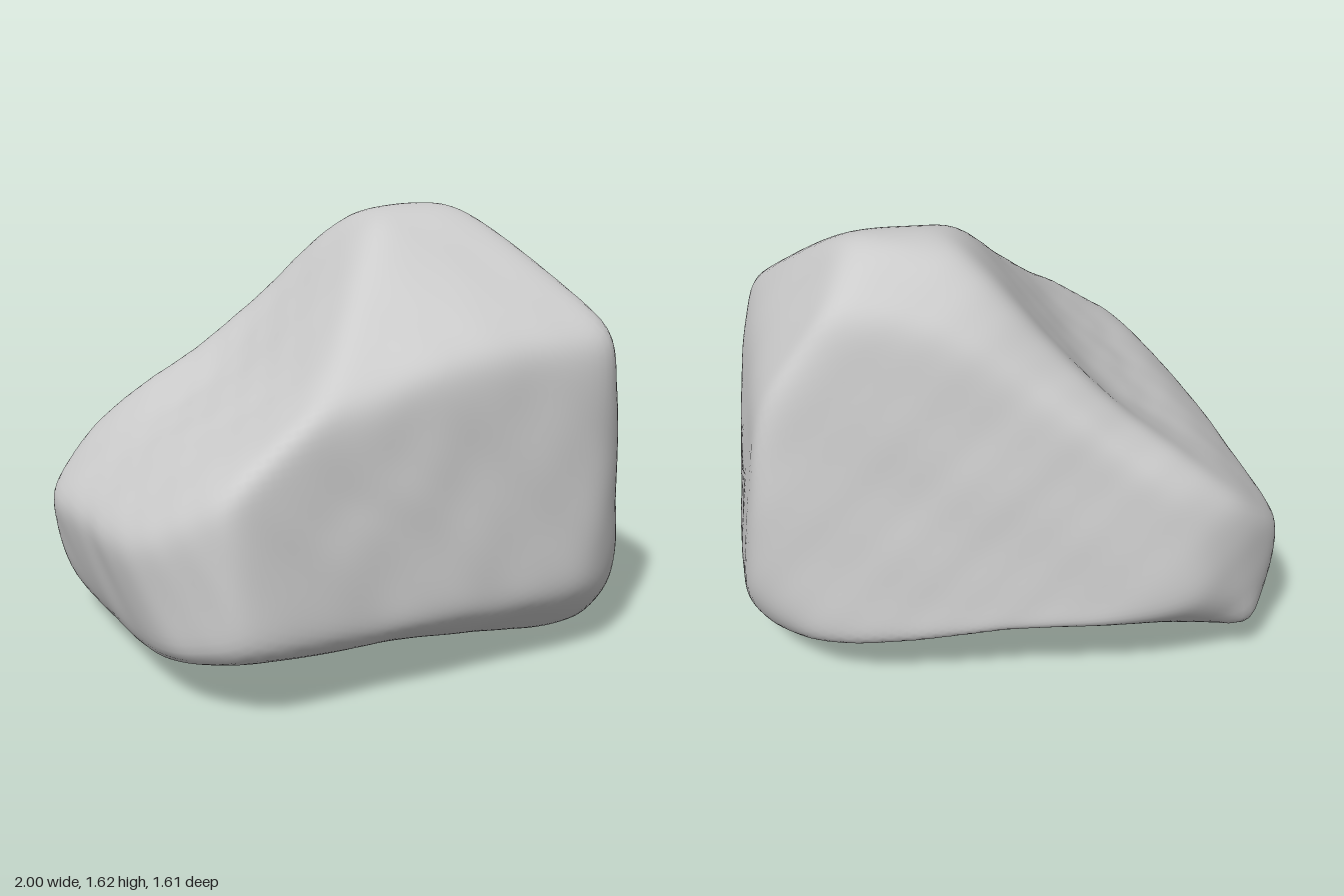
import * as THREE from 'three';
import { mergeVertices } from 'three/addons/utils/BufferGeometryUtils.js';

// Broad facets of the boulder: outward direction, then a point on the facet
const FACETS = [
  [[0, 0.08, 1], [0, 0.5, 0.805]],              // front
  [[0, 0.84, 0.54], [0.2, 1.54, 0.2]],          // upper front slope
  [[-0.67, 0.74, -0.1], [0.05, 1.54, 0]],       // long left slope
  [[-0.75, 0.6, 0], [-0.92, 0.71, 0]],          // left shoulder
  [[0, 1, 0], [0.3, 1.615, 0]],                 // crown
  [[0.1, 0.75, -0.6], [0.4, 1.5, -0.3]],        // back of the crown
  [[1, 0.1, 0.1], [0.965, 0.55, 0]],            // right side
  [[0.81, 0.59, 0], [0.74, 1.34, 0]],           // right shoulder
  [[0.37, 0.18, -1.25], [-0.5, 0.5, -0.8]],     // back
  [[-0.35, 0.97, -1.09], [0, 1.28, -0.48]],     // back ridge
  [[-0.25, 0.12, -0.96], [-0.55, 0.4, -0.82]],  // foot of the back ridge
  [[-1, -0.2, 0], [-1.01, 0.5, 0]],             // left side
  [[-0.85, 0, 0.5], [-0.91, 0.5, 0.6]],         // front left corner
  [[-0.63, 0, -0.78], [-0.87, 0.4, -0.69]],     // back left corner
  [[0.6, 0, 0.8], [0.82, 0.5, 0.71]],           // front right corner
  [[0.65, 0, -0.76], [0.86, 0.4, -0.4]],        // back right corner
  [[-0.06, -1, 0.06], [0, 0.01, 0]],            // underside
  [[0, -0.7, 0.7], [0, 0.16, 0.75]],            // lower front edge
  [[-0.15, -0.9, 0.35], [-0.6, 0.13, 0.6]],     // lower front left
  [[0.5, -0.6, 0.6], [0.83, 0.13, 0.66]],       // lower front right
  [[0, -0.5, -0.87], [-0.6, 0.2, -0.73]],       // lower back edge
  [[0.1, -0.9, -0.4], [0.4, 0.14, -0.45]],      // rising back of the underside
  [[0.75, -0.65, 0], [0.95, 0.08, 0]],          // lower right edge
  [[0.7, -0.55, -0.4], [0.92, 0.15, -0.2]],     // lower back right
  [[-0.7, -0.7, 0], [-0.91, 0.08, 0]],          // lower left edge
];
const CENTRE = new THREE.Vector3(0, 0.65, 0);
const SHARPNESS = 26;

const planes = FACETS.map(([n, p]) => {
  const normal = new THREE.Vector3(...n).normalize();
  return { normal, dist: normal.dot(new THREE.Vector3(...p).sub(CENTRE)) };
});

const { smoothstep } = THREE.MathUtils;
const bell = (v, mid, width) => Math.exp(-(((v - mid) / width) ** 2));

// Distance to the surface along a direction, with facets blended at the edges
function radius(dir) {
  let sum = 0;
  for (const { normal, dist } of planes) {
    sum += Math.max(0, normal.dot(dir) / dist) ** SHARPNESS;
  }
  return sum ** (-1 / SHARPNESS);
}

// Gentle weathering
function weathering({ x, y, z }) {
  return 0.004 * Math.sin(7 * x + 1) * Math.sin(6 * z + 2) * Math.sin(6 * y)
    + 0.003 * Math.sin(13 * y + 5 * z) * Math.sin(12 * x - 7 * z + 2)
    + 0.001 * Math.sin(25 * x + 9 * y) * Math.sin(23 * z + 17 * y);
}

function boulderGeometry() {
  let geo = new THREE.IcosahedronGeometry(1, 36);
  geo.deleteAttribute('normal');
  geo.deleteAttribute('uv');
  geo = mergeVertices(geo, 1e-5);
  const pos = geo.attributes.position;
  const dir = new THREE.Vector3();
  const v = new THREE.Vector3();
  const knob = new THREE.Vector3(-0.78, 0.2, -0.65);
  for (let i = 0; i < pos.count; i++) {
    dir.fromBufferAttribute(pos, i).normalize();
    v.copy(dir).multiplyScalar(radius(dir)).add(CENTRE);
    v.addScaledVector(dir, weathering(v));
    // Hollow in the left slope and arch in the underside
    const high = smoothstep(v.y, 0.5, 1.0) * smoothstep(v.z, -0.8, -0.2);
    const low = (1 - smoothstep(v.y, 0.05, 0.4)) * (1 - 0.6 * smoothstep(v.z, 0.2, 0.8));
    v.y += low * 0.11 * bell(v.x, -0.1, 0.52) - high * 0.12 * bell(v.x, -0.37, 0.35);
    // Small knob on the lower back corner
    v.addScaledVector(dir, 0.04 * bell(v.distanceTo(knob), 0, 0.07));
    pos.setXYZ(i, v.x, v.y, v.z);
  }
  // Centre it and stand it on the ground
  geo.center();
  geo.translate(0, -geo.boundingBox.min.y, 0);
  geo.computeVertexNormals();
  return geo;
}

export function createModel() {
  const group = new THREE.Group();
  group.name = 'rock';
  const boulder = new THREE.Mesh(
    boulderGeometry(),
    new THREE.MeshStandardMaterial({ color: 0xcccccc }),
  );
  boulder.name = 'boulder';
  group.add(boulder);
  return group;
}
